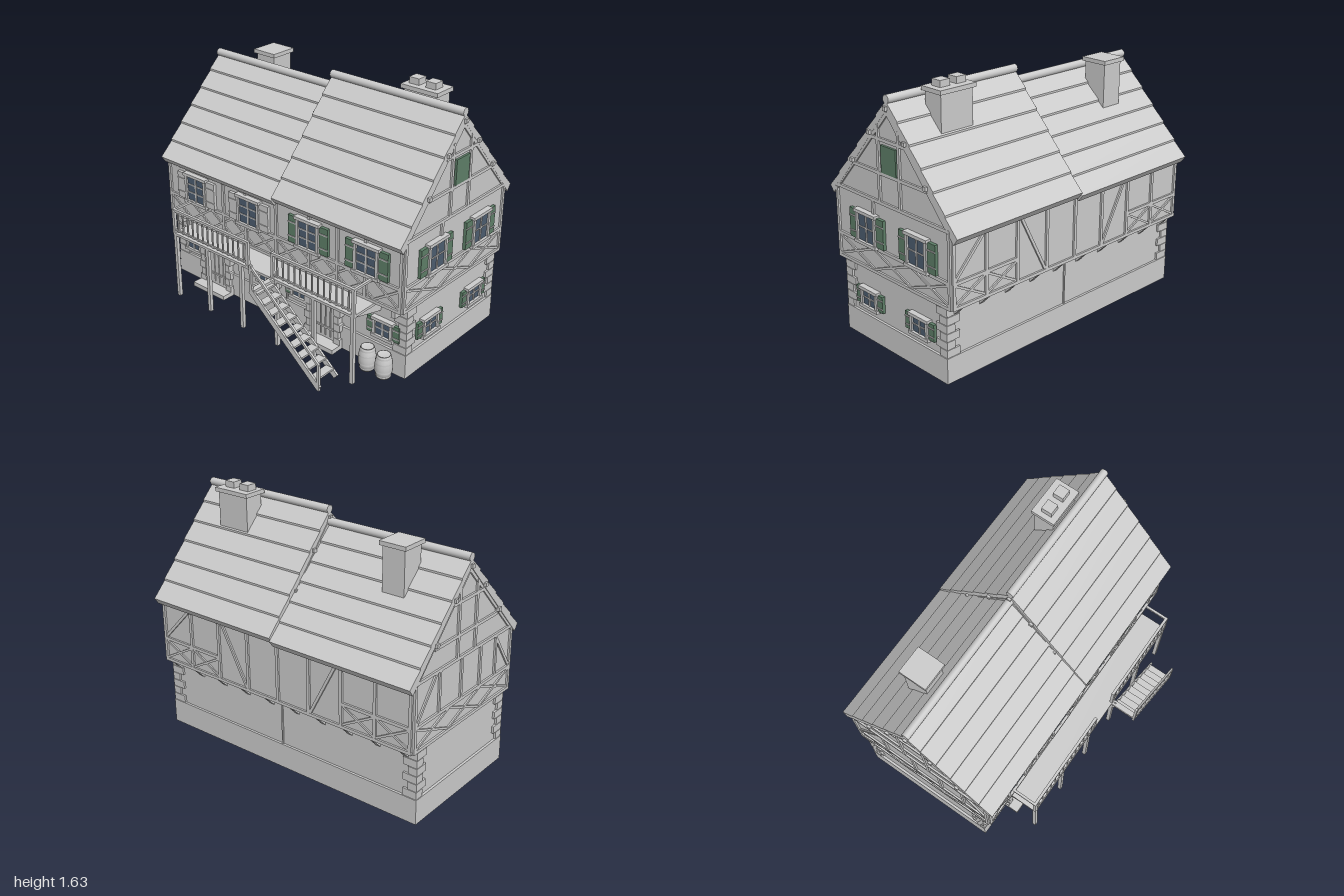
import * as THREE from 'three';

const grey = new THREE.MeshStandardMaterial({ color: 0xcccccc, name: 'pale grey' });
const green = new THREE.MeshStandardMaterial({ color: 0x5f8069, name: 'shutter green' });
const blue = new THREE.MeshStandardMaterial({ color: 0x4d5d70, name: 'window blue' });

const RIDGE_Z = -0.16;

function group(parent, name, x = 0, y = 0, z = 0, ry = 0) {
  const g = new THREE.Group();
  g.name = name;
  g.position.set(x, y, z);
  g.rotation.y = ry;
  parent.add(g);
  return g;
}

function add(parent, name, geo, mat, x = 0, y = 0, z = 0) {
  const m = new THREE.Mesh(geo, mat);
  m.name = name;
  m.position.set(x, y, z);
  parent.add(m);
  return m;
}

const box = (p, name, w, h, d, x, y, z, mat = grey) =>
  add(p, name, new THREE.BoxGeometry(w, h, d), mat, x, y, z);

// Box given by its lower and upper corners
const span = (p, name, x0, x1, y0, y1, z0, z1, mat = grey) =>
  box(p, name, x1 - x0, y1 - y0, z1 - z0, (x0 + x1) / 2, (y0 + y1) / 2, (z0 + z1) / 2, mat);

// Straight timber between two points of a facade
function strut(p, name, x0, y0, x1, y1, w = 0.02, d = 0.012, z = d / 2) {
  const m = box(p, name, Math.hypot(x1 - x0, y1 - y0), w, d, (x0 + x1) / 2, (y0 + y1) / 2, z);
  m.rotation.z = Math.atan2(y1 - y0, x1 - x0);
  return m;
}

// Extrude a (z, y) outline along x
function extrudeX(p, name, pts, x0, x1) {
  const shape = new THREE.Shape(pts.map(([z, y]) => new THREE.Vector2(-z, y)));
  const geo = new THREE.ExtrudeGeometry(shape, { depth: x1 - x0, bevelEnabled: false });
  geo.rotateY(Math.PI / 2);
  return add(p, name, geo, grey, x0, 0, 0);
}

// Roof with stepped tile rows, ridge roll and purlin ends
function roof(p, x0, x1, ridge, eave, purlins) {
  const reach = 0.562, rows = 6, outer = [];
  for (let i = 0; i < rows; i++) {
    const y = t => ridge + (eave - ridge) * t;
    outer.push([reach * i / rows, y(i / rows)], [reach * (i + 1) / rows, y((i + 1) / rows) + 0.012]);
  }
  const half = [...outer, [reach - 0.03, eave - 0.03]];
  const back = half.map(([s, y]) => [RIDGE_Z - s, y]);
  const front = half.slice(1).reverse().map(([s, y]) => [RIDGE_Z + s, y]);
  extrudeX(p, 'tiledRoof', [...back, [RIDGE_Z, ridge - 0.05], ...front], x0, x1);
  const cap = add(p, 'ridgeRoll', new THREE.CylinderGeometry(0.025, 0.025, x1 - x0, 16), grey, (x0 + x1) / 2, ridge + 0.01, RIDGE_Z);
  cap.rotation.z = Math.PI / 2;
  [[0, purlins[0]], [0.152, purlins[1]], [0.32, purlins[2]]].forEach(([s, y]) => {
    for (const side of s ? [-1, 1] : [1]) span(p, 'purlin', x0 - 0.014, x1 + 0.016, y - 0.012, y + 0.012, RIDGE_Z + side * s - 0.012, RIDGE_Z + side * s + 0.012);
  });
}

// Window with frame, glazing bars, sill and optional shutters
function windowUnit(p, u, y, w, h, rows, shutterMat, sw) {
  const g = group(p, 'window', u, y, 0), f = 0.02;
  box(g, 'glass', w, h, 0.008, 0, 0, 0.015, blue);
  for (const s of [-1, 1]) {
    box(g, 'frameSide', f, h + 2 * f, 0.03, s * (w + f) / 2, 0, 0.015);
    box(g, s > 0 ? 'lintel' : 'sill', w + 2 * f + 0.016, f, 0.036, 0, s * (h + f) / 2, 0.018);
    if (shutterMat) {
      const x = s * (w / 2 + f + sw / 2);
      box(g, 'shutter', sw, h + 0.012, 0.02, x, 0, 0.01, shutterMat);
      for (const k of [-1, 1]) box(g, 'shutterBatten', sw, 0.008, 0.006, x, k * h * 0.28, 0.022);
    }
  }
  box(g, 'mullion', 0.012, h, 0.012, 0, 0, 0.018);
  for (let i = 1; i < rows; i++) box(g, 'glazingBar', w, 0.008, 0.012, 0, h * (i / rows - 0.5), 0.018);
}

// Crossed braces in the band below the windows
function crosses(p, u0, u1, n) {
  const step = (u1 - u0) / n;
  for (let i = 0; i < n; i++) {
    const a = u0 + i * step;
    strut(p, 'crossBrace', a, 0.49, a + step, 0.62, 0.014, 0.01);
    strut(p, 'crossBrace', a, 0.62, a + step, 0.49, 0.014, 0.008);
  }
}

function gableTimbers(g, f, drop) {
  const H = (y, a, b) => strut(g, 'rail', f(a), y, f(b), y);
  const V = (z, a, b) => strut(g, 'post', f(z), a, f(z), b);
  H(0.48, 0.35, -0.66); H(0.63, 0.35, -0.66); H(0.932 - drop / 2, 0.35, -0.66);
  H(1.11 - drop, 0.16, -0.485); H(1.31 - drop, 0, -0.31);
  V(0.34, 0.47, 0.92 - drop / 2); V(-0.65, 0.47, 0.92 - drop / 2); V(0, 0.63, 0.93 - drop / 2);
  V(-0.07, 0.93 - drop / 2, 1.39 - drop); V(-0.25, 0.93 - drop / 2, 1.39 - drop);
  for (const s of [-1, 1]) // rafters along the verge
    strut(g, 'vergeRafter', f(RIDGE_Z), 1.475 - drop, f(RIDGE_Z + s * 0.5), 0.915 - drop / 2, 0.024, 0.01);
  crosses(g, Math.min(f(0.34), f(-0.65)), Math.max(f(0.34), f(-0.65)), 3);
}

// Arched plank door with stone surround and step
function door(p, x) {
  const g = group(p, 'door', x, 0, 0.285);
  const s = new THREE.Shape();
  s.moveTo(-0.1, 0.02); s.lineTo(0.1, 0.02); s.lineTo(0.1, 0.31);
  s.absellipse(0, 0.31, 0.1, 0.065, 0, Math.PI, false);
  add(g, 'doorLeaf', new THREE.ExtrudeGeometry(s, { depth: 0.024, bevelEnabled: false }), grey);
  for (const k of [-0.06, -0.02, 0.02, 0.06]) box(g, 'plankStrip', 0.007, 0.3, 0.008, k, 0.2, 0.026);
  for (const y of [0.11, 0.29]) box(g, 'doorBand', 0.18, 0.012, 0.01, 0, y, 0.027);
  for (let i = 0; i < 6; i++) for (const k of [-1, 1]) {
    const w = i % 2 ? 0.036 : 0.05;
    box(g, 'jambStone', w, 0.049, 0.04, k * (0.095 + w / 2), 0.045 + i * 0.052, 0.02);
  }
  for (let i = 0; i < 7; i++) {
    const a = Math.PI * (i + 0.5) / 7;
    const m = box(g, 'archStone', 0.05, 0.05, 0.045, 0.118 * Math.cos(a), 0.315 + 0.078 * Math.sin(a), 0.02);
    m.rotation.z = a;
  }
  box(g, 'doorStep', 0.29, 0.03, 0.11, 0, 0.015, 0.055);
}

function chimney(p, x, z, w, d, top) {
  box(p, 'chimneyStack', w - 0.03, top - 1.1, d - 0.03, x, (top + 1.1) / 2 - 0.01, z);
  box(p, 'chimneyCap', w, 0.026, d, x, top - 0.013, z);
}

export function createModel() {
  const house = new THREE.Group();
  house.name = 'timberFramedHouse';

  // Masonry ground floor
  span(house, 'plinth', -0.978, 0.97, 0, 0.16, -0.62, 0.3);
  span(house, 'groundFloor', -0.962, 0.955, 0.15, 0.48, -0.605, 0.285);
  for (const z of [-0.607, 0.287]) box(house, 'partyWallStrip', 0.01, 0.31, 0.012, 0.02, 0.315, z);
  for (const sx of [-1, 1]) for (const sz of [-1, 1]) for (let i = 0; i < 6; i++) {
    const a = i % 2 ? 0.06 : 0.095, b = i % 2 ? 0.09 : 0.06;
    const cx = sx > 0 ? 0.968 : -0.976, cz = sz > 0 ? 0.298 : -0.618;
    box(house, 'quoin', a, 0.047, b, cx - sx * a / 2, 0.186 + i * 0.0505, cz - sz * b / 2);
  }

  // Two upper storeys with gables
  const body = (wall, apex) => [[0.35, 0.47], [0.35, wall], [RIDGE_Z, apex], [-0.66, wall], [-0.66, 0.47]];
  extrudeX(house, 'rightUpperStorey', body(0.925, 1.5), 0, 0.965);
  extrudeX(house, 'leftUpperStorey', body(0.9, 1.42), -0.97, 0);
  roof(house, 0.005, 0.976, 1.54, 0.9, [1.5, 1.335, 1.13]);
  roof(house, -0.985, 0.005, 1.465, 0.88, [1.425, 1.27, 1.065]);

  // Chimneys
  chimney(house, 0.626, -0.275, 0.262, 0.16, 1.593);
  for (const x of [0.562, 0.68]) box(house, 'chimneyPot', 0.07, 0.045, 0.07, x, 1.61, -0.27);
  chimney(house, -0.625, -0.308, 0.18, 0.185, 1.538);

  // Right gable
  const right = group(house, 'rightGable', 0.965, 0, 0, Math.PI / 2);
  gableTimbers(right, z => -z, 0);
  box(right, 'loftHatch', 0.13, 0.16, 0.014, 0.165, 1.2, 0.007, green);
  for (const z of [0.055, -0.395]) windowUnit(right, -z, 0.737, 0.14, 0.17, 2, green, 0.066);
  const rightLow = group(house, 'rightGroundWall', 0.955, 0, 0, Math.PI / 2);
  for (const z of [0.07, -0.39]) windowUnit(rightLow, -z, 0.277, 0.115, 0.095, 2, green, 0.047);

  // Left gable
  const left = group(house, 'leftGable', -0.97, 0, 0, -Math.PI / 2);
  gableTimbers(left, z => z, 0.07);
  strut(left, 'longBrace', -0.64, 0.64, -0.45, 0.89, 0.018, 0.01);
  strut(left, 'longBrace', 0.33, 0.64, 0.16, 0.89, 0.018, 0.01);
  for (const z of [-0.42, -0.2, 0.17]) strut(left, 'post', z, 0.63, z, 0.89, 0.018);

  // Front facade
  const front = group(house, 'frontFacade', 0, 0, 0.35);
  for (const y of [0.48, 0.628]) strut(front, 'rail', -0.97, y, 0.965, y);
  strut(front, 'leftTopPlate', -0.97, 0.875, 0, 0.875);
  strut(front, 'rightTopPlate', 0, 0.9, 0.965, 0.9);
  for (const x of [-0.96, -0.46, -0.26, 0, 0.27, 0.49, 0.7, 0.955]) strut(front, 'post', x, 0.47, x, 0.88);
  crosses(front, -0.96, 0.955, 10);
  for (const x of [-0.7, -0.225]) windowUnit(front, x, 0.725, 0.15, 0.17, 3, grey, 0.075);
  for (const x of [0.27, 0.715]) windowUnit(front, x, 0.737, 0.14, 0.17, 3, green, 0.066);
  const frontLow = group(house, 'frontGroundWall', 0, 0, 0.285);
  windowUnit(frontLow, -0.82, 0.27, 0.105, 0.095, 2, null, 0);
  windowUnit(frontLow, -0.145, 0.277, 0.105, 0.095, 2, grey, 0.045);
  for (const x of [0.145, 0.8]) windowUnit(frontLow, x, 0.277, 0.105, 0.095, 2, green, 0.047);
  door(house, -0.6);
  door(house, 0.345);

  // Back facade
  const back = group(house, 'backFacade', 0, 0, -0.66, Math.PI);
  strut(back, 'sillBeam', -0.965, 0.48, 0.97, 0.48);
  strut(back, 'topPlate', -0.965, 0.88, 0.97, 0.88);
  for (let i = 0; i <= 8; i++) strut(back, 'post', -0.955 + i * 0.239, 0.47, -0.955 + i * 0.239, 0.9);
  for (const [a, b] of [[-0.955, -0.477], [0.479, 0.957]]) {
    strut(back, 'rail', a, 0.628, b, 0.628);
    crosses(back, a, b, 2);
  }
  strut(back, 'longBrace', -0.95, 0.64, -0.73, 0.87, 0.018, 0.01);
  strut(back, 'longBrace', 0.25, 0.49, 0.45, 0.87, 0.018, 0.01);
  strut(back, 'longBrace', -0.25, 0.49, -0.45, 0.87, 0.018, 0.01);

  // Jetty brackets and joist ends
  for (let i = 0; i < 10; i++) {
    const x = -0.9 + i * 0.2;
    extrudeX(house, 'backBracket', [[-0.6, 0.47], [-0.655, 0.47], [-0.655, 0.455], [-0.6, 0.4]], x - 0.015, x + 0.015);
    span(house, 'joistEnd', x - 0.015, x + 0.015, 0.415, 0.465, 0.28, 0.345);
  }

  // Balcony
  const balcony = group(house, 'balcony');
  span(balcony, 'deck', -0.745, 0.775, 0.455, 0.472, 0.34, 0.545);
  for (let i = 0; i < 6; i++) {
    const x = -0.73 + i * 0.298;
    span(balcony, 'supportPost', x - 0.012, x + 0.012, 0, 0.46, 0.52, 0.544);
    extrudeX(balcony, 'bracket', [[0.28, 0.46], [0.28, 0.39], [0.3, 0.39], [0.52, 0.45], [0.52, 0.46]], x - 0.01, x + 0.01);
  }
  for (const [a, b] of [[-0.745, -0.06], [0.13, 0.775]]) {
    span(balcony, 'handrail', a, b, 0.628, 0.645, 0.527, 0.545);
    span(balcony, 'lowerRail', a, b, 0.49, 0.5, 0.53, 0.542);
    for (const x of [a + 0.01, b - 0.01]) span(balcony, 'railPost', x - 0.01, x + 0.01, 0.47, 0.64, 0.526, 0.546);
    const n = Math.round((b - a) / 0.046);
    for (let i = 1; i < n; i++) box(balcony, 'baluster', 0.009, 0.15, 0.009, a + (b - a) * i / n, 0.56, 0.536);
  }
  for (const x of [-0.737, 0.767]) span(balcony, 'sideRail', x - 0.008, x + 0.008, 0.63, 0.645, 0.35, 0.53);

  // Stairs
  const stairs = group(house, 'stairs');
  for (const z of [0.562, 0.716]) strut(stairs, 'stringer', 0.13, 0.46, 0.665, 0.015, 0.04, 0.014, z);
  for (let i = 0; i < 9; i++) box(stairs, 'tread', 0.055, 0.012, 0.15, 0.155 + i * 0.058, 0.45 - i * 0.0485, 0.639);
  strut(stairs, 'handrail', 0.13, 0.625, 0.665, 0.17, 0.016, 0.014, 0.716);
  span(stairs, 'topPost', 0.125, 0.143, 0.44, 0.635, 0.708, 0.724);
  span(stairs, 'footPost', 0.653, 0.669, 0, 0.18, 0.708, 0.724);
  span(stairs, 'landing', 0.125, 0.16, 0.45, 0.472, 0.54, 0.72);

  // Barrels
  const profile = [[0, 0], [0.042, 0], [0.052, 0.04], [0.056, 0.077], [0.052, 0.115], [0.042, 0.155], [0.038, 0.155], [0.038, 0.148], [0, 0.148]];
  for (const x of [0.737, 0.86]) {
    const b = group(house, 'barrel', x, 0.005, 0.363);
    add(b, 'staves', new THREE.LatheGeometry(profile.map(([r, y]) => new THREE.Vector2(r, y)), 16), grey);
    for (const [y, r] of [[0.015, 0.048], [0.05, 0.055], [0.105, 0.055], [0.14, 0.048]])
      add(b, 'hoop', new THREE.CylinderGeometry(r, r, 0.01, 16, 1, true), grey, 0, y, 0);
  }
  return house;
}
